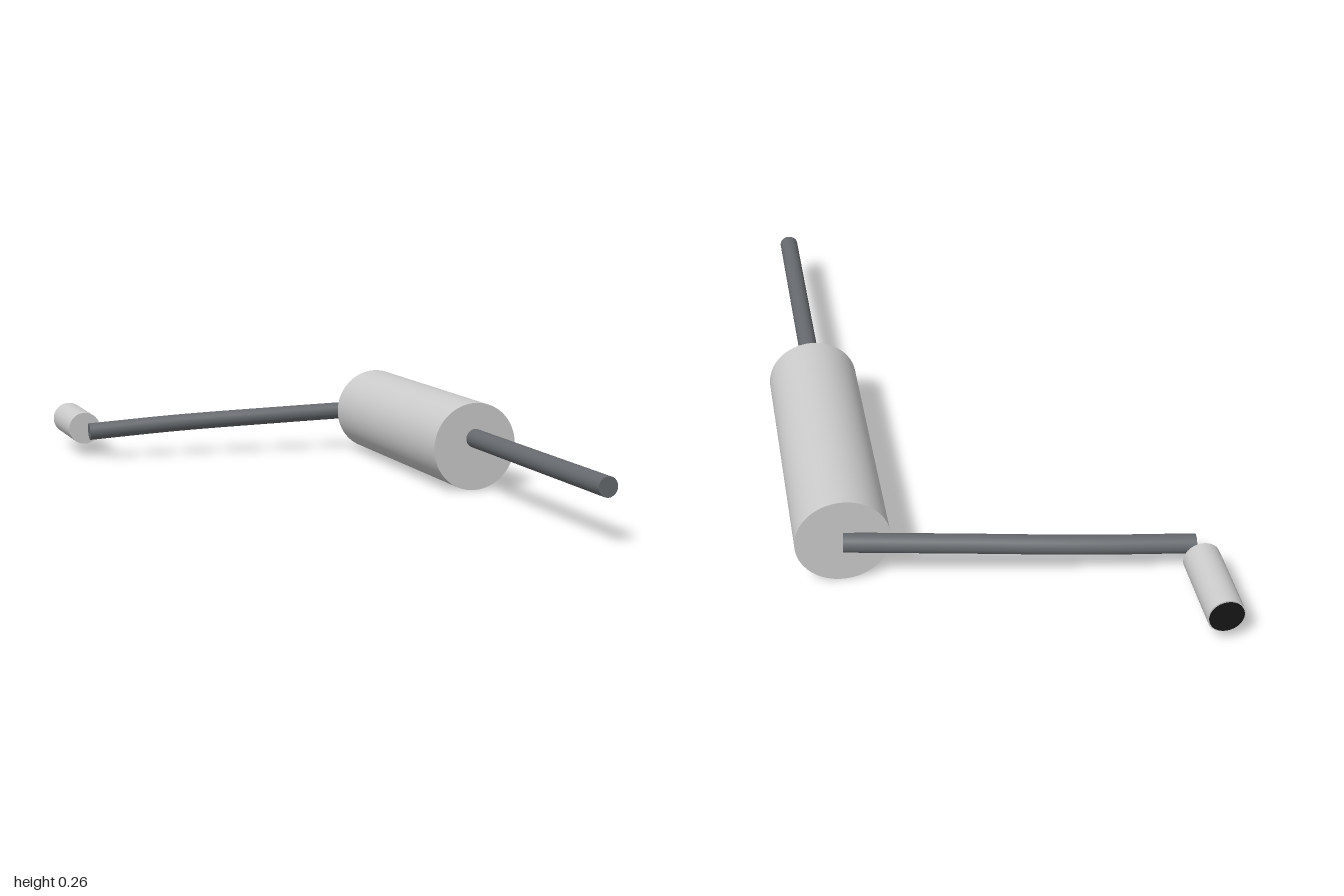
import * as THREE from 'three';

const lightGrey = new THREE.MeshStandardMaterial({ color: 0xcccccc });
const darkGrey = new THREE.MeshStandardMaterial({ color: 0x666a6e });
const black = new THREE.MeshStandardMaterial({ color: 0x161616 });

// Closed cylinder lying along z, from z0 to z1
function barrel(name, x, y, z0, z1, radius, material, sides = 48) {
  const geometry = new THREE.CylinderGeometry(radius, radius, z1 - z0, sides);
  geometry.rotateX(Math.PI / 2);
  const mesh = new THREE.Mesh(geometry, material);
  mesh.position.set(x, y, (z0 + z1) / 2);
  mesh.name = name;
  return mesh;
}

// Round bar along a gently bent path, closed at both ends
function bentBar(name, points, radius, material, sides = 24) {
  const group = new THREE.Group();
  group.name = name;
  const curve = new THREE.CatmullRomCurve3(points);
  group.add(new THREE.Mesh(new THREE.TubeGeometry(curve, 32, radius, sides), material));
  for (const t of [0, 1]) {
    const cap = new THREE.Mesh(new THREE.CircleGeometry(radius, sides), material);
    const outward = curve.getTangent(t).multiplyScalar(t ? 1 : -1);
    cap.quaternion.setFromUnitVectors(new THREE.Vector3(0, 0, 1), outward);
    cap.position.copy(curve.getPoint(t));
    group.add(cap);
  }
  return group;
}

export function createModel() {
  const model = new THREE.Group();
  model.name = 'handCrank';

  // Drum and the shaft leaving its front
  model.add(barrel('drum', 0.43, 0.13, -0.577, 0.21, 0.13, lightGrey, 64));
  model.add(barrel('shaft', 0.43, 0.155, 0.19, 1, 0.028, darkGrey, 24));

  // Arm crossing from the back of the drum towards the grip
  model.add(bentBar('crankArm', [
    new THREE.Vector3(0.43, 0.132, -0.585),
    new THREE.Vector3(0.1, 0.119, -0.63),
    new THREE.Vector3(-0.22, 0.105, -0.672),
    new THREE.Vector3(-0.513, 0.088, -0.695),
  ], 0.027, darkGrey));

  // Grip with a dark end face
  model.add(barrel('grip', -0.513, 0.089, -0.997, -0.76, 0.051, lightGrey));
  model.add(barrel('gripEnd', -0.513, 0.089, -1, -0.99, 0.047, black));

  return model;
}
